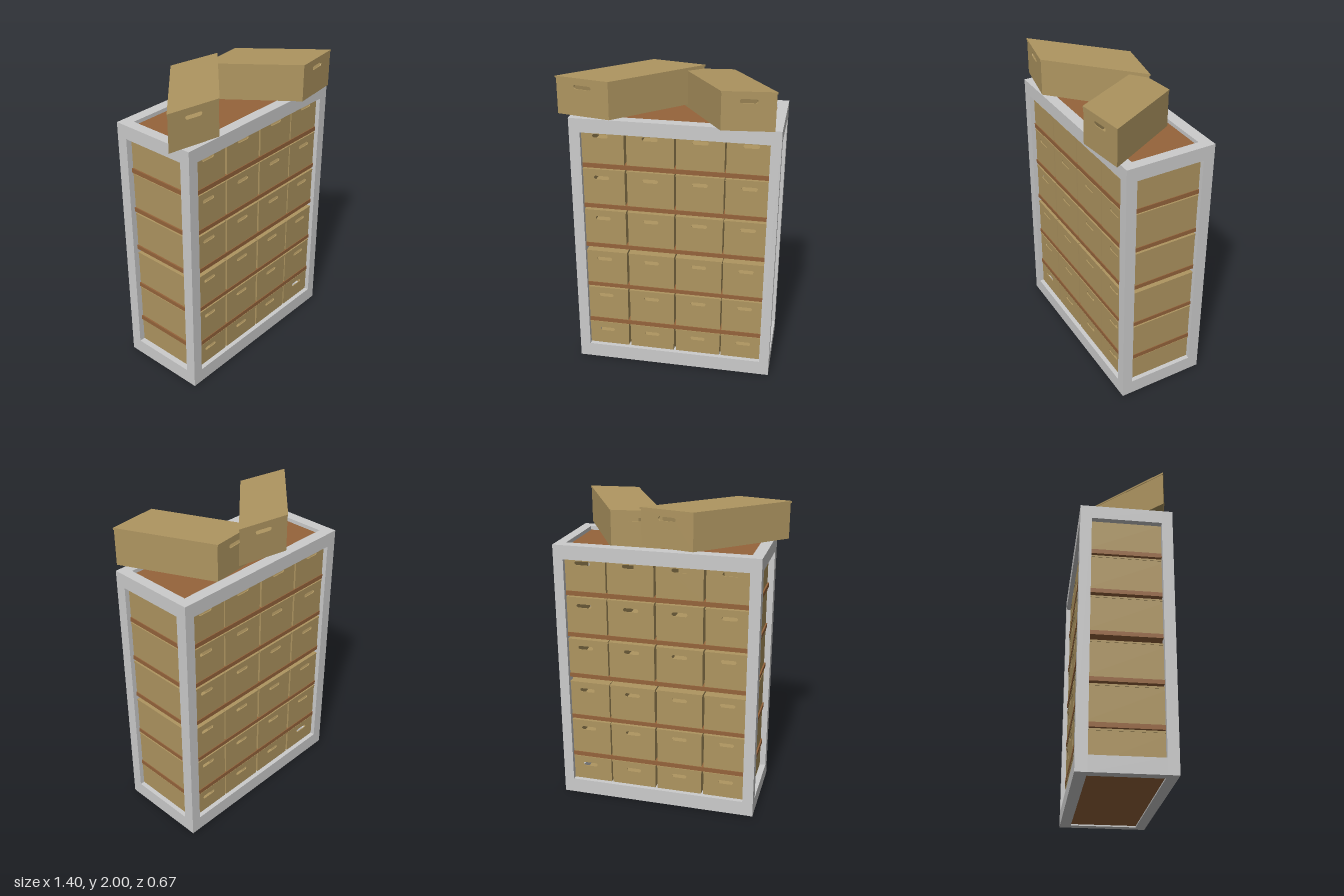
import * as THREE from 'three';
import { mergeGeometries } from 'three/addons/utils/BufferGeometryUtils.js';

const BOX = { w: 0.30, h: 0.24, d: 0.53, wall: 0.006 };
const LID = { w: 0.306, d: 0.536, t: 0.012 };

const frameMat = new THREE.MeshStandardMaterial({ color: 0xcccccc });
const shelfMat = new THREE.MeshStandardMaterial({ color: 0x95643b });
const cardMat = new THREE.MeshStandardMaterial({ color: 0xae9560 });

// Block given by its min and max corners
function block(x0, x1, y0, y1, z0, z1) {
  return new THREE.BoxGeometry(x1 - x0, y1 - y0, z1 - z0)
    .translate((x0 + x1) / 2, (y0 + y1) / 2, (z0 + z1) / 2);
}

function addMesh(parent, name, geometry, material) {
  const mesh = new THREE.Mesh(geometry, material);
  mesh.name = name;
  parent.add(mesh);
  return mesh;
}

// End wall of a carton with a rounded hand slot
function endWall(z) {
  const { w, h, wall } = BOX;
  const top = h - LID.t;
  const s = new THREE.Shape();
  s.moveTo(-w / 2, 0);
  s.lineTo(w / 2, 0);
  s.lineTo(w / 2, top);
  s.lineTo(-w / 2, top);
  s.closePath();
  const r = 0.0125, half = 0.05 - r, y = 0.182;
  const slot = new THREE.Path();
  slot.absarc(half, y, r, -Math.PI / 2, Math.PI / 2, false);
  slot.absarc(-half, y, r, Math.PI / 2, Math.PI * 1.5, false);
  slot.closePath();
  s.holes.push(slot);
  return new THREE.ExtrudeGeometry(s, { depth: wall, bevelEnabled: false, curveSegments: 6 })
    .translate(0, 0, z);
}

// Hollow carton body, standing on y = 0
function cartonBody() {
  const { w, h, d, wall } = BOX;
  const top = h - LID.t;
  const zi = d / 2 - wall;
  const walls = [
    block(-w / 2, -w / 2 + wall, 0, top, -zi, zi),
    block(w / 2 - wall, w / 2, 0, top, -zi, zi),
    block(-w / 2 + wall, w / 2 - wall, 0, wall, -zi, zi),
  ].map((g) => g.toNonIndexed());
  return mergeGeometries([...walls, endWall(zi), endWall(-d / 2)]);
}

function cartonLid() {
  return block(-LID.w / 2, LID.w / 2, BOX.h - LID.t, BOX.h, -LID.d / 2, LID.d / 2);
}

function carton(name, body, lid) {
  const g = new THREE.Group();
  g.name = name;
  addMesh(g, 'cartonBody', body, cardMat);
  addMesh(g, 'cartonLid', lid, cardMat);
  return g;
}

// Carton skewed onto given width and length edges
function looseCarton(name, across, along, base) {
  const m = new THREE.Matrix4().makeBasis(
    across.clone().divideScalar(LID.w),
    new THREE.Vector3(0, 1, 0),
    along.clone().divideScalar(LID.d)
  ).setPosition(base);
  return carton(name, cartonBody().applyMatrix4(m), cartonLid().applyMatrix4(m));
}

export function createModel() {
  const model = new THREE.Group();
  model.name = 'cartonRack';

  // Frame: posts, then rails at the bottom and top
  const X = [-0.61, -0.54, 0.635, 0.70];
  const Z = [-0.335, -0.262, 0.185, 0.255];
  const frame = new THREE.Group();
  frame.name = 'frame';
  model.add(frame);
  for (const i of [0, 2]) {
    for (const k of [0, 2]) {
      addMesh(frame, 'post', block(X[i], X[i + 1], 0, 1.75, Z[k], Z[k + 1]), frameMat);
    }
  }
  for (const [y0, y1] of [[0, 0.10], [1.66, 1.75]]) {
    for (const k of [0, 2]) {
      addMesh(frame, 'longRail', block(X[1], X[2], y0, y1, Z[k], Z[k + 1]), frameMat);
      addMesh(frame, 'sideRail', block(X[k], X[k + 1], y0, y1, Z[1], Z[2]), frameMat);
    }
  }

  // Shelves, including bottom and top panels
  const shelves = [[0.01, 0.03], [0.275, 0.305], [0.558, 0.585], [0.857, 0.885],
    [1.142, 1.17], [1.42, 1.45], [1.70, 1.725]];
  for (const [y0, y1] of shelves) {
    addMesh(model, 'shelf', block(-0.58, 0.675, y0, y1, -0.31, 0.23), shelfMat);
  }

  // Four cartons on each of the six shelves
  const body = cartonBody(), lid = cartonLid();
  for (const [, floor] of shelves.slice(0, 6)) {
    for (const x of [-0.42, -0.105, 0.21, 0.52]) {
      const c = carton('shelfCarton', body, lid);
      c.position.set(x, floor, -0.04);
      model.add(c);
    }
  }

  // Two loose cartons on top, one tilted against the frame
  model.add(looseCarton('looseCarton', new THREE.Vector3(0.35, 0, 0.07),
    new THREE.Vector3(-0.515, 0, 0.48), new THREE.Vector3(-0.268, 1.75, -0.02)));
  model.add(looseCarton('tiltedCarton', new THREE.Vector3(0.325, 0, -0.035),
    new THREE.Vector3(0.315, 0.034, 0.535), new THREE.Vector3(0.345, 1.743, 0.045)));

  return model;
}
